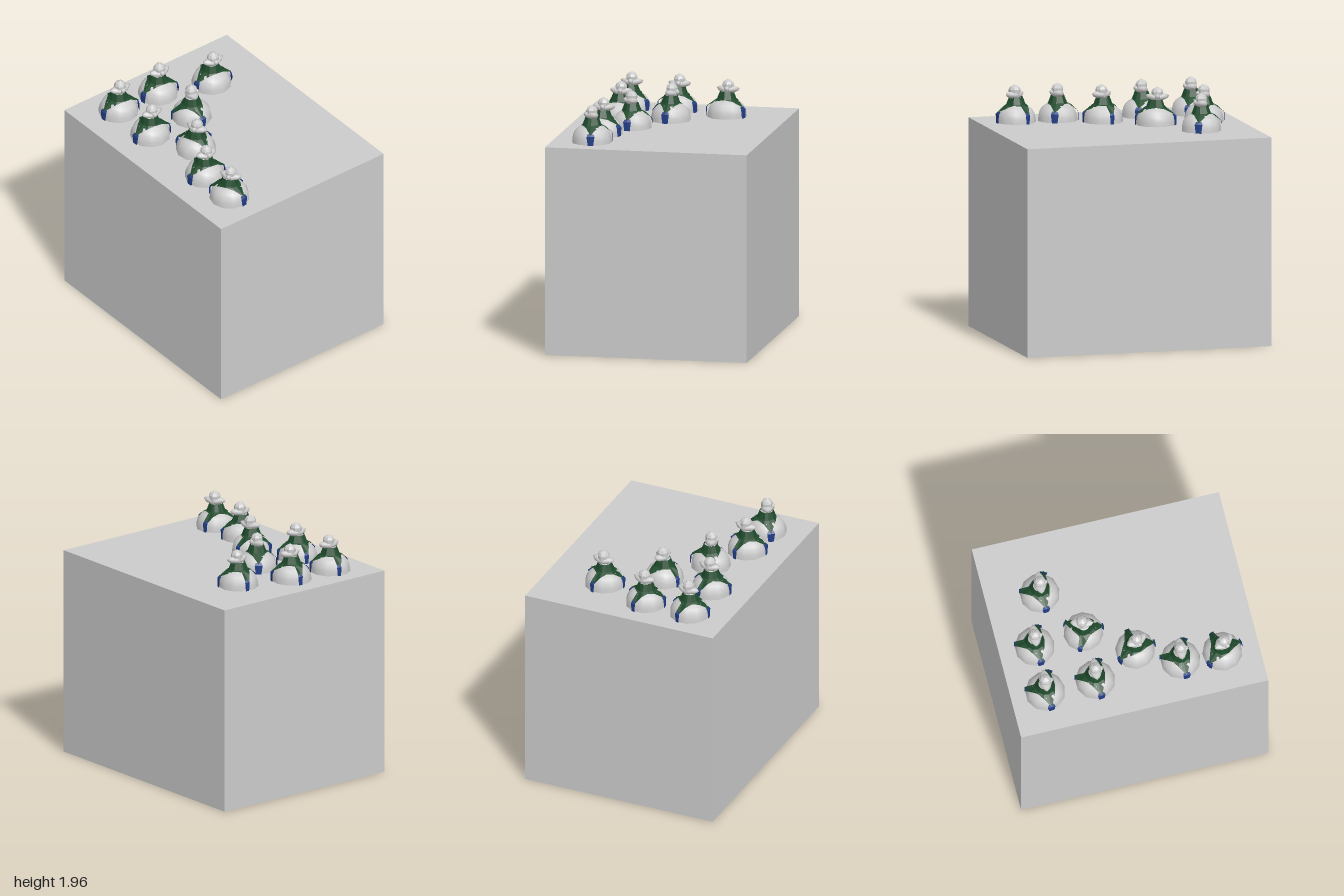
import * as THREE from 'three';

const BOX_TOP = 1.66;
const deg = Math.PI / 180;
const grey = new THREE.MeshStandardMaterial({ color: 0xcccccc });
const greyFlat = new THREE.MeshStandardMaterial({ color: 0xcccccc, flatShading: true });
const green = new THREE.MeshStandardMaterial({ color: 0x1f4a2c, flatShading: true, side: THREE.DoubleSide });
const blue = new THREE.MeshStandardMaterial({ color: 0x213d86, flatShading: true, side: THREE.DoubleSide });

function part(name, geometry, material) {
  const mesh = new THREE.Mesh(geometry, material);
  mesh.name = name;
  return mesh;
}

const lathe = (points, sides) =>
  new THREE.LatheGeometry(points.map(([r, y]) => new THREE.Vector2(r, y)), sides);

// Skin a stack of equally long rows of [angle, radius, y]; angles run from +x towards +z
function skin(rows) {
  const position = [];
  const index = [];
  const n = rows[0].length;
  for (const row of rows)
    for (const [a, r, y] of row) position.push(r * Math.cos(a * deg), y, r * Math.sin(a * deg));
  for (let i = 0; i < rows.length - 1; i++)
    for (let j = 0; j < n - 1; j++) {
      const a = i * n + j, b = a + 1, c = a + n, d = c + 1;
      index.push(a, b, c, b, d, c);
    }
  const geometry = new THREE.BufferGeometry();
  geometry.setAttribute('position', new THREE.Float32BufferAttribute(position, 3));
  geometry.setIndex(index);
  geometry.computeVertexNormals();
  return geometry;
}

// Cape hem: three pointed tips (right, left, back) with high hems between them
const hem = [
  [24, 0.166, 0.082], [50, 0.095, 0.128], [95, 0.078, 0.14], [140, 0.095, 0.128],
  [175, 0.166, 0.076], [200, 0.105, 0.125], [235, 0.088, 0.135], [262, 0.12, 0.118],
  [277, 0.16, 0.075], [289, 0.155, 0.085], [292, 0.09, 0.135], [335, 0.085, 0.138],
  [384, 0.166, 0.082],
];

function capeGeometry() {
  const collar = hem.map(([a]) => [a, 0.054, 0.2]);
  const shoulder = hem.map(([a]) => [a, 0.076, 0.142]);
  return skin([collar, shoulder, hem]);
}

// Narrow cloth panel hanging below a cape tip
function panelGeometry(angle, halfWidth) {
  const row = (r, y, spread) => [-1, 0, 1].map((s) => [angle + s * spread, r, y]);
  return skin([row(0.147, 0.09, halfWidth * 0.8), row(0.164, 0.07, halfWidth), row(0.164, 0, halfWidth * 0.7)]);
}

// Wide hat brim, stretched sideways with the ends turned up
function brimGeometry() {
  const geometry = new THREE.SphereGeometry(1, 10, 6);
  const p = geometry.attributes.position;
  for (let i = 0; i < p.count; i++) {
    const x = p.getX(i), y = p.getY(i), z = p.getZ(i);
    const pinch = 1 - 0.35 * x * x;
    p.setXYZ(i, x * 0.093, y * 0.03 + 0.012 * x * x, z * 0.05 * pinch);
  }
  geometry.computeVertexNormals();
  return geometry;
}

const shared = {
  body: lathe([[0.158, 0], [0.155, 0.035], [0.146, 0.07], [0.126, 0.102], [0.098, 0.125], [0.07, 0.137], [0.052, 0.19], [0, 0.2]], 11),
  cape: capeGeometry(),
  panels: [[24, 11], [175, 11], [283, 7]].map(([a, w]) => panelGeometry(a, w)),
  head: lathe([[0, 0.175], [0.04, 0.185], [0.046, 0.21], [0.047, 0.26], [0.036, 0.28], [0, 0.3]], 8),
  brim: brimGeometry(),
  nose: new THREE.SphereGeometry(0.022, 6, 5),
};

function figure(x, z, turn) {
  const group = new THREE.Group();
  group.name = 'figure';
  group.add(part('body', shared.body, grey), part('cape', shared.cape, green));
  for (const panel of shared.panels) group.add(part('clothPanel', panel, blue));

  const head = new THREE.Group();
  head.name = 'head';
  const brim = part('hatBrim', shared.brim, grey);
  brim.position.y = 0.215;
  const nose = part('nose', shared.nose, grey);
  nose.position.set(0, 0.225, 0.042);
  head.add(part('crown', shared.head, greyFlat), brim, nose);
  head.position.set(0.012, 0, 0.004);
  head.rotation.y = -4 * deg;
  group.add(head);

  group.position.set(x, BOX_TOP, z);
  group.rotation.y = turn * deg;
  return group;
}

export function createModel() {
  const model = new THREE.Group();
  model.name = 'boxWithFigures';

  // Large plain block
  const block = part('block', new THREE.BoxGeometry(1.62, BOX_TOP, 2), grey);
  block.position.y = BOX_TOP / 2;
  model.add(block);

  // Figures on the top: x, z, turn in degrees
  const places = [
    [-0.485, -0.725, 0], [-0.1, -0.715, 0], [0.32, -0.57, 0], [-0.485, -0.32, 0],
    [-0.075, -0.315, 80], [-0.315, 0.045, -67], [-0.48, 0.37, 0], [-0.495, 0.705, -58],
  ];
  for (const [x, z, turn] of places) model.add(figure(x, z, turn));
  return model;
}
